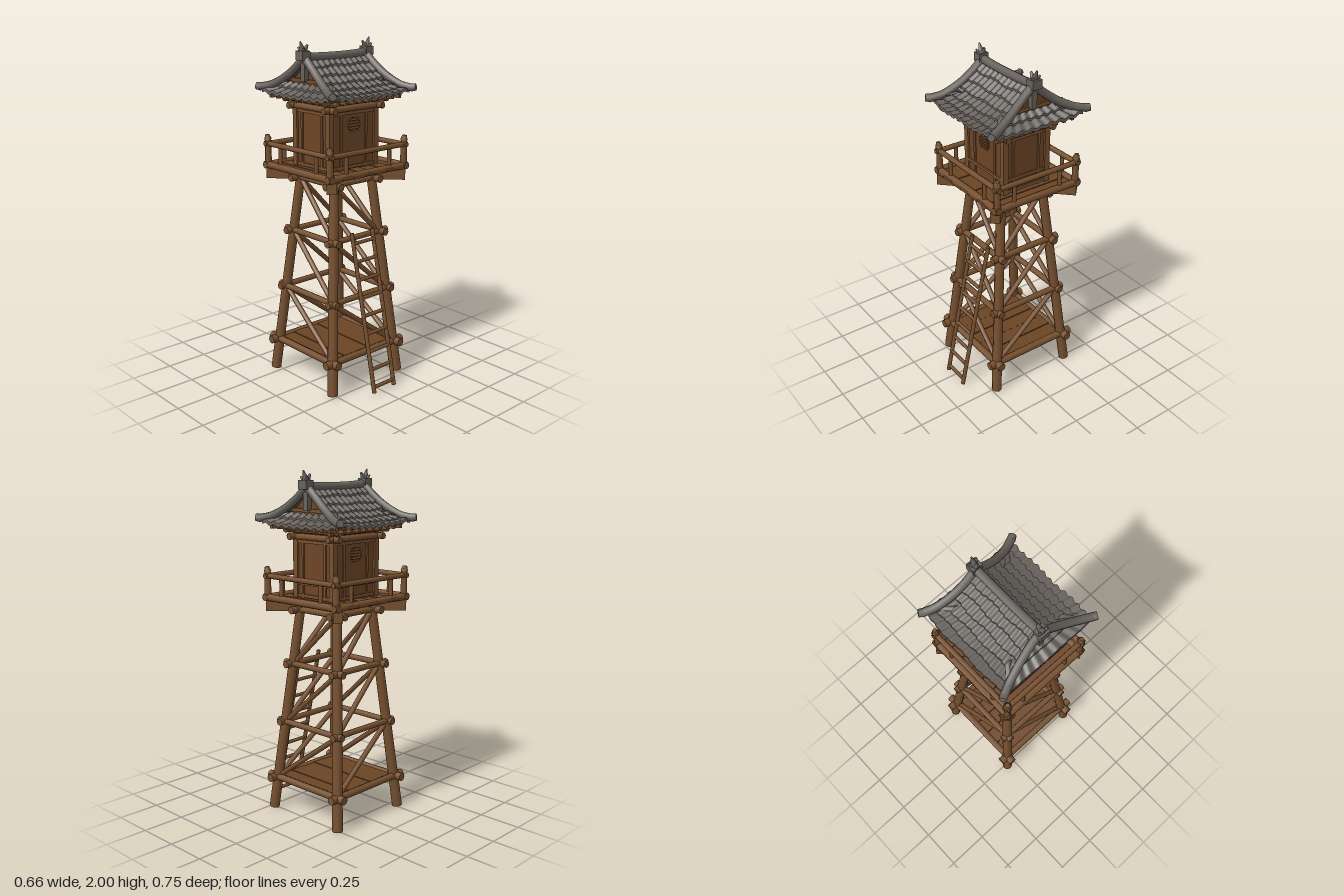
import * as THREE from 'three';

const V = (x, y, z) => new THREE.Vector3(x, y, z);

export function createModel() {
  const mat = (name, color, side = THREE.FrontSide) => {
    const m = new THREE.MeshStandardMaterial({ color, side });
    m.name = name;
    return m;
  };
  const wood = mat('timber', 0x76502f);
  const plank = mat('planks', 0x6c4526);
  const dark = mat('vent shadow', 0x3a2413);
  const slate = mat('roof tile', 0x67625d, THREE.DoubleSide);

  const root = new THREE.Group();
  root.name = 'watchtower';
  const tower = new THREE.Group();
  tower.name = 'tower';
  tower.position.z = -0.04;
  root.add(tower);

  const add = (geo, m, name, parent = tower) => {
    const mesh = new THREE.Mesh(geo, m);
    mesh.name = name;
    parent.add(mesh);
    return mesh;
  };
  const box = (name, w, h, d, x, y, z, m = wood) => {
    const mesh = add(new THREE.BoxGeometry(w, h, d), m, name);
    mesh.position.set(x, y, z);
    return mesh;
  };
  // Round log between two points
  const log = (name, a, b, r, m = wood, r2 = r, parent = tower) => {
    const mesh = add(new THREE.CylinderGeometry(r2, r, a.distanceTo(b), 8), m, name, parent);
    mesh.position.copy(a).add(b).multiplyScalar(0.5);
    mesh.quaternion.setFromUnitVectors(V(0, 1, 0), b.clone().sub(a).normalize());
    return mesh;
  };
  const signs = [-1, 1];
  const corners = [[-1, -1], [1, -1], [1, 1], [-1, 1]];
  const legAt = y => 0.262 - 0.098 * y; // half spacing of the leaning legs
  // Square of four logs crossing at the corners
  const ring = (name, y, hx, hz, ex, ez, r) => signs.forEach(s => {
    log(name, V(-ex, y, s * hz), V(ex, y, s * hz), r);
    log(name, V(s * hx, y, -ez), V(s * hx, y, ez), r);
  });

  // Legs and tie beams
  for (const [sx, sz] of corners) {
    const a = legAt(0), b = legAt(1.22);
    log('leg', V(sx * a, 0.008, sz * a), V(sx * b, 1.24, sz * b), 0.03, wood, 0.027);
  }
  const levels = [[0.2, 0.3, 0.021], [0.545, 0.252, 0.018], [0.895, 0.228, 0.018], [1.215, 0.212, 0.018]];
  for (const [y, e, r] of levels) {
    const h = legAt(y) + 0.008;
    ring('tieBeam', y, h, h, e, e, r);
    // Thickened ends and pegs at the joints
    for (const [sx, sz] of corners) {
      log('beamEnd', V(sx * (e - 0.035), y, sz * h), V(sx * (e + 0.004), y, sz * h), r + 0.004);
      log('beamEnd', V(sx * h, y, sz * (e - 0.035)), V(sx * h, y, sz * (e + 0.004)), r + 0.004);
      log('peg', V(sx * h, y, sz * h), V(sx * h, y, sz * (h + 0.032)), 0.013);
      log('peg', V(sx * h, y, sz * h), V(sx * (h + 0.032), y, sz * h), 0.013);
    }
  }
  // Diagonal braces in every bay
  for (let i = 0; i < 3; i++) {
    const y0 = levels[i][0] + 0.01, y1 = levels[i + 1][0] - 0.015;
    const h0 = legAt(y0), h1 = legAt(y1);
    for (const s of signs) {
      log('brace', V(h0 - 0.01, y0, s * h0), V(-h1 + 0.01, y1, s * h1), 0.015);
      log('brace', V(s * h0, y0, h0 - 0.01), V(s * h1, y1, -h1 + 0.01), 0.015);
    }
  }
  // Planked floors
  const floor = (name, y, half, n, t) => {
    const w = 2 * half / n;
    for (let i = 0; i < n; i++) {
      box(name, w - 0.004, t, 2 * half, -half + w * (i + 0.5), y + (i % 2) * 0.003, 0, plank);
    }
  };
  floor('lowerFloor', 0.2, 0.235, 5, 0.018);
  floor('deck', 1.28, 0.29, 7, 0.018);

  // Corner brackets under the deck
  for (const [sx, sz] of corners) {
    const b = box('deckBracket', 0.22, 0.062, 0.055, sx * 0.205, 1.24, sz * 0.205);
    b.rotation.y = -Math.atan2(sz, sx);
  }
  // Deck edge and railing
  ring('deckEdge', 1.287, 0.285, 0.27, 0.305, 0.292, 0.021);
  ring('handrail', 1.41, 0.282, 0.268, 0.305, 0.292, 0.0155);
  for (const [sx, sz] of corners) {
    log('railPost', V(sx * 0.282, 1.28, sz * 0.268), V(sx * 0.282, 1.45, sz * 0.268), 0.02, wood, 0.017);
    log('postCap', V(sx * 0.282, 1.435, sz * 0.268), V(sx * 0.286, 1.463, sz * 0.27), 0.022, wood, 0.012);
    log('baluster', V(sx * 0.165, 1.28, sz * 0.268), V(sx * 0.165, 1.41, sz * 0.268), 0.012);
    log('baluster', V(sx * 0.282, 1.28, sz * 0.155), V(sx * 0.282, 1.41, sz * 0.155), 0.012);
  }

  // Cabin walls, corner posts and trim
  box('cabin', 0.35, 0.42, 0.29, 0, 1.49, 0, plank);
  for (const [sx, sz] of corners) {
    box('cabinPost', 0.034, 0.42, 0.034, sx * 0.17, 1.49, sz * 0.14);
    box('wallBatten', 0.014, 0.33, 0.012, sx * 0.095, 1.45, sz * 0.147);
    box('wallBatten', 0.012, 0.33, 0.014, sx * 0.177, 1.45, sz * 0.085);
  }
  for (const s of signs) {
    for (const y of [1.305, 1.375, 1.61]) {
      box('wallRail', 0.34, 0.018, 0.012, 0, y, s * 0.148);
      box('wallRail', 0.012, 0.018, 0.28, s * 0.178, y, 0);
    }
    // Slatted vent
    const vent = add(new THREE.CylinderGeometry(0.041, 0.041, 0.008, 12), dark, 'vent');
    vent.rotation.x = Math.PI / 2;
    vent.position.set(0, 1.54, s * 0.148);
    for (let i = -2; i <= 2; i++) {
      box('ventSlat', 2 * Math.sqrt(0.0019 - (i * 0.016) ** 2), 0.009, 0.01, 0, 1.54 + i * 0.016, s * 0.152);
    }
  }
  // Stacked beams carrying the eaves
  ring('wallPlate', 1.635, 0.178, 0.15, 0.225, 0.2, 0.018);
  ring('eaveBeam', 1.675, 0.195, 0.17, 0.235, 0.215, 0.017);
  box('soffit', 0.5, 0.016, 0.5, 0, 1.7, 0, plank);
  for (let i = -4; i <= 4; i++) {
    for (const s of signs) {
      box('rafter', 0.018, 0.02, 0.11, i * 0.058, 1.69, s * 0.225);
      box('rafter', 0.11, 0.02, 0.018, s * 0.235, 1.69, i * 0.056);
    }
  }

  // Overlapping rows of wavy tiles on a surface P(u, t), t running down the slope
  const tiles = (name, P, rows, waves) => {
    const pos = [], idx = [], cols = waves * 6;
    for (let r = 0; r < rows; r++) {
      const base = pos.length / 3;
      for (let c = 0; c <= cols; c++) {
        const u = -1 + 2 * c / cols;
        const wave = 0.007 * Math.cos(Math.PI * waves * u);
        const jag = 0.014 * Math.sin(7 * u + r * 2.3) + 1.6 * wave;
        const top = P(u, Math.max(0, r / rows - 0.02));
        const low = P(u, (r + 1) / rows + jag);
        const under = low.clone();
        top.y += wave;
        low.y += wave + 0.014;
        under.y += wave - 0.006;
        // The lower edge is doubled to keep it crisp
        for (const p of [top, low, low, under]) pos.push(p.x, p.y, p.z);
        if (c === cols) continue;
        const a = base + c * 4, b = a + 4;
        for (const k of [0, 2]) idx.push(a + k, a + k + 1, b + k, b + k, a + k + 1, b + k + 1);
      }
    }
    const g = new THREE.BufferGeometry();
    g.setAttribute('position', new THREE.Float32BufferAttribute(pos, 3));
    g.setIndex(idx);
    g.computeVertexNormals();
    add(g, slate, name);
  };
  for (const s of signs) {
    // u is flipped with the side so that faces point up
    tiles('mainRoof', (u, t) => V(
      s * u * (0.225 + 0.05 * t * t),
      1.705 + 0.2 * Math.max(0, 1 - t) ** 1.6 + 0.018 * u ** 4 * t * t,
      s * 0.3 * t), 6, 11);
    tiles('sideRoof', (u, t) => V(
      s * (0.195 + 0.107 * t),
      1.775 - 0.075 * t ** 0.8 + 0.018 * u ** 4 * t,
      -s * u * (0.2 + 0.085 * t)), 2, 9);

    // Gable wall with its centre strut
    const tri = new THREE.Shape([[-0.15, 1.755], [0.15, 1.755], [0, 1.89]].map(p => new THREE.Vector2(...p)));
    const gable = add(new THREE.ExtrudeGeometry(tri, { depth: 0.02, bevelEnabled: false }), plank, 'gable');
    gable.rotation.y = Math.PI / 2;
    gable.position.x = s * 0.2 - 0.01;
    box('gableBeam', 0.02, 0.02, 0.25, s * 0.212, 1.785, 0);
    box('gableStrut', 0.028, 0.12, 0.034, s * 0.228, 1.845, 0, slate);

    // Curved bargeboards sweeping out to the corners
    for (const z of signs) {
      const path = new THREE.CatmullRomCurve3([
        V(s * 0.228, 1.915, 0), V(s * 0.232, 1.855, z * 0.07), V(s * 0.246, 1.797, z * 0.15),
        V(s * 0.272, 1.75, z * 0.24), V(s * 0.3, 1.735, z * 0.305)]);
      add(new THREE.TubeGeometry(path, 16, 0.023, 8), slate, 'bargeboard');
      log('bargeTip', V(s * 0.297, 1.735, z * 0.3), V(s * 0.312, 1.739, z * 0.325), 0.024, slate, 0.021);
    }
    // Ridge end ornament: a block with upswept horns
    box('ridgeEnd', 0.055, 0.05, 0.06, s * 0.238, 1.925, 0, slate);
    log('horn', V(s * 0.23, 1.93, 0), V(s * 0.256, 2.0, 0), 0.024, slate, 0.004);
    log('horn', V(s * 0.235, 1.935, 0), V(s * 0.205, 1.98, 0), 0.02, slate, 0.006);
    for (const z of signs) {
      log('horn', V(s * 0.235, 1.93, 0), V(s * 0.25, 1.968, z * 0.026), 0.017, slate, 0.005);
    }
  }
  // Ridge, sagging slightly in the middle
  const ridge = new THREE.CatmullRomCurve3([V(-0.25, 1.92, 0), V(-0.12, 1.911, 0), V(0.12, 1.911, 0), V(0.25, 1.92, 0)]);
  add(new THREE.TubeGeometry(ridge, 16, 0.024, 8), slate, 'ridge');

  // Ladder leaning on the front
  const rung = (x, t) => V(x, 0.008 + 0.922 * t, 0.36 - 0.198 * t);
  for (const x of [-0.06, 0.1]) log('ladderStile', rung(x, 0), rung(x, 1), 0.0125, wood, 0.0115, root);
  for (let i = 0; i < 9; i++) {
    const t = 0.035 + i * 0.1125;
    log('ladderRung', rung(-0.06, t), rung(0.1, t), 0.011, wood, 0.011, root);
  }
  return root;
}
